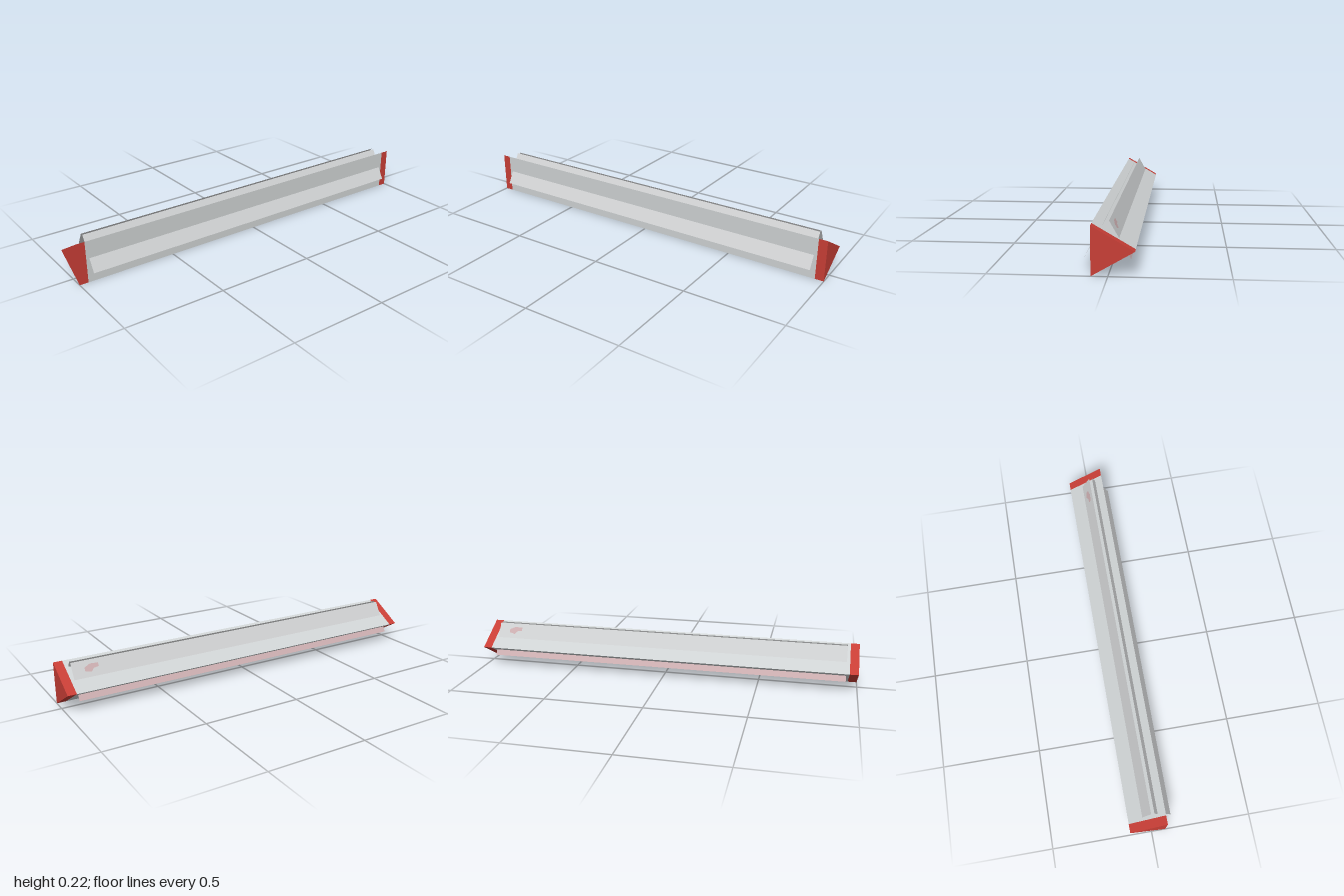
import * as THREE from 'three';

const mat = (name, color, side = THREE.FrontSide) => {
  const m = new THREE.MeshStandardMaterial({ color, side });
  m.name = name;
  return m;
};

export function createModel() {
  const red = mat('red', 0xc83e36);
  const grey = mat('light grey', 0xced2d3);
  const panelGrey = mat('panel grey', 0xd0d2d3, THREE.DoubleSide);
  const pink = mat('pale pink', 0xceb0b2, THREE.DoubleSide);
  const group = new THREE.Group();

  const add = (parent, name, geometry, material) => {
    const mesh = new THREE.Mesh(geometry, material);
    mesh.name = name;
    parent.add(mesh);
    return mesh;
  };

  // Triangular box: flat front, ridge at the back
  const section = new THREE.Shape([
    new THREE.Vector2(-0.07, 0),
    new THREE.Vector2(0.11, 0.105),
    new THREE.Vector2(-0.07, 0.21),
  ]);
  const prism = (name, x0, x1, material) => {
    const geo = new THREE.ExtrudeGeometry(section, { depth: x1 - x0, bevelEnabled: false });
    geo.rotateY(Math.PI / 2).translate(x0, 0, 0);
    add(group, name, geo, material);
  };
  prism('boxBody', -0.956, 0.956, grey);
  prism('rightEndBand', -1, -0.956, red);
  prism('leftEndBand', 0.956, 1, red);

  // Flat sheets that lean together and pass through the box; points are [z, y]
  const WIDTH = 1.88;
  const sheet = (name, [z0, y0], [z1, y1], material) => {
    const geo = new THREE.PlaneGeometry(WIDTH, Math.hypot(z1 - z0, y1 - y0));
    const mesh = add(group, name, geo, material);
    mesh.position.set(0, (y0 + y1) / 2, (z0 + z1) / 2);
    mesh.rotation.x = Math.atan2(z1 - z0, y1 - y0);
    return mesh;
  };
  sheet('frontPanel', [0.105, 0.058], [0.016, 0.219], panelGrey);
  const back = sheet('backPanel', [-0.055, 0.12], [0, 0.218], panelGrey);
  sheet('backPanelLower', [-0.09, 0.058], [-0.055, 0.12], pink);

  // Small painted patch on the outer face of the back panel
  const patch = new THREE.Shape();
  patch.moveTo(0.81, 0.034);
  patch.lineTo(0.85, 0.036);
  patch.lineTo(0.88, 0.022);
  patch.lineTo(0.88, 0.004);
  patch.lineTo(0.85, -0.004);
  patch.lineTo(0.835, 0.012);
  patch.lineTo(0.81, 0.016);
  add(back, 'paintedPatch', new THREE.ShapeGeometry(patch), pink).position.z = -0.0015;

  return group;
}
